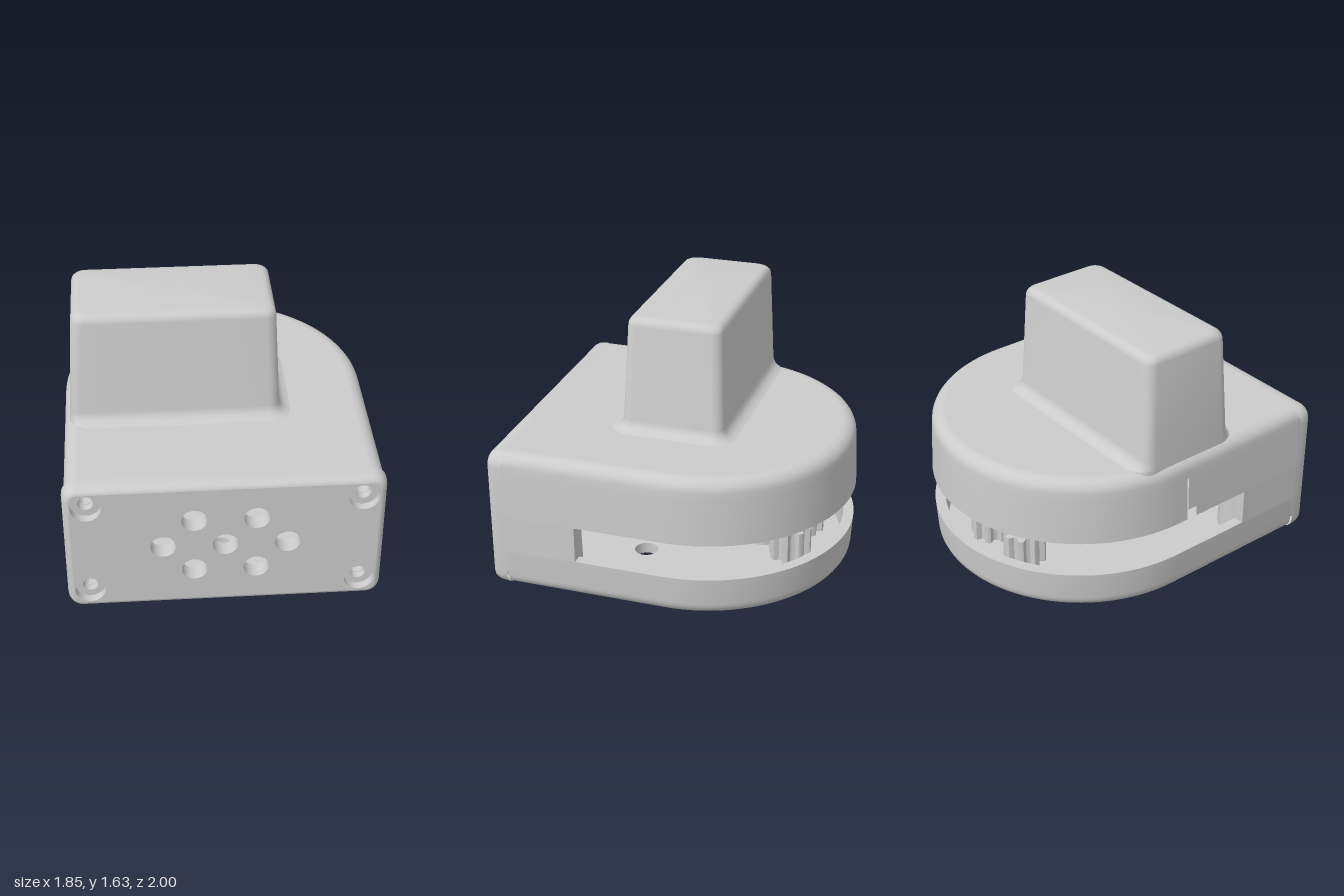
import * as THREE from 'three';
import { toCreasedNormals } from 'three/addons/utils/BufferGeometryUtils.js';

const R = 0.925, ZC = -0.075, ZF = 0.9, WALL = 0.07;
const grey = new THREE.MeshStandardMaterial({ color: 0xcccccc, side: THREE.DoubleSide });

// Skin between rings of points; skip(a, c) leaves out a quad by its corners
function loft(rings, closed, skip = () => false) {
  const n = rings[0].length, idx = [];
  for (let i = 0; i < rings.length - 1; i++)
    for (let j = 0; j < (closed ? n : n - 1); j++) {
      const k = (j + 1) % n;
      if (skip(rings[i][j], rings[i + 1][k])) continue;
      const a = i * n + j, b = i * n + k, c = b + n, d = a + n;
      idx.push(a, b, c, a, c, d);
    }
  const g = new THREE.BufferGeometry().setFromPoints(rings.flat());
  g.setIndex(idx);
  return toCreasedNormals(g, 0.6);
}

// D-shaped plan outline (x, z), open at the front
function outline(inset) {
  const r = R - inset, pts = [];
  for (const z of [ZF, 0.46, 0.07, 0]) pts.push([r, z]);
  for (let i = 0; i <= 48; i++) {
    const t = Math.PI * i / 48;
    pts.push([r * Math.cos(t), ZC - r * Math.sin(t)]);
  }
  for (const z of [0, 0.07, 0.46, ZF]) pts.push([-r, z]);
  return pts;
}
const dRing = ([inset, y]) => outline(inset).map(([x, z]) => new THREE.Vector3(x, y, z));

// Rounded rectangle, counter-clockwise
function roundRect(x0, x1, y0, y1, r) {
  const pts = [];
  [[x1 - r, y0 + r], [x1 - r, y1 - r], [x0 + r, y1 - r], [x0 + r, y0 + r]].forEach(([cx, cy], q) => {
    for (let i = 0; i <= 6; i++) {
      const t = (q - 1 + i / 6) * Math.PI / 2;
      pts.push(new THREE.Vector2(cx + r * Math.cos(t), cy + r * Math.sin(t)));
    }
  });
  return pts;
}

const circle = (x, y, r) => new THREE.Path().absarc(x, y, r, 0, Math.PI * 2, true);

function plate(points, holes, depth) {
  const shape = new THREE.Shape(points);
  shape.holes.push(...holes);
  return new THREE.ExtrudeGeometry(shape, { depth, bevelEnabled: false, curveSegments: 24 });
}
const lathe = (pts) => toCreasedNormals(
  new THREE.LatheGeometry(pts.map(p => new THREE.Vector2(...p)), 32), 0.6);

export function createModel() {
  const model = new THREE.Group();
  const add = (name, geo, x = 0, y = 0, z = 0) => {
    const m = new THREE.Mesh(geo, grey);
    m.name = name;
    m.position.set(x, y, z);
    model.add(m);
    return m;
  };
  const slab = (inset, holes, y) => {
    const pts = outline(inset).map(([x, z]) => new THREE.Vector2(x, -z));
    return plate(pts, holes, WALL).rotateX(-Math.PI / 2).translate(0, y, 0);
  };
  const posts = [[0, -0.44], [0.7, 0.62], [-0.7, 0.62]];

  // Upper shell wall with a narrow slit on one side
  const slit = (a, c) => a.x < 0 && c.x < 0 && Math.min(a.z, c.z) > -0.01 &&
    Math.max(a.z, c.z) < 0.08 && Math.max(a.y, c.y) < 0.81;
  const upper = [[0.1, 0.855], [0.085, 0.855], [0.08, 0.8], [WALL, 0.52], [0, 0.52], [0.012, 0.8]];
  const lower = [];
  for (let i = 0; i <= 6; i++) {
    const t = i / 6 * Math.PI / 2, c = 0.08 * (1 - Math.cos(t)), s = 0.08 * Math.sin(t);
    upper.push([0.015 + c, 0.845 + s]);
    lower.unshift([0.015 + c, 0.12 - s]);
  }
  lower.push([0.005, 0.29], [WALL, 0.29], [0.08, 0.11], [0.1, 0.11]);
  add('upperShellWall', loft(upper.map(dRing), false, slit));
  add('lowerShellWall', loft(lower.map(dRing), false));

  // Roof opens into the tower
  add('roof', slab(0.095, [new THREE.Path(roundRect(-0.8, 0.3, -0.29, 0.2, 0.05).reverse())], 0.855));

  // Floor with a diagonal grid of vents and the post holes
  const vents = posts.map(([x, z]) => circle(x, -z, 0.075));
  for (let i = -1; i <= 1; i++)
    for (let j = -1; j <= 1; j++)
      vents.push(circle((i + j) * 0.185, -(0.21 + (i - j) * 0.185), 0.072));
  add('floor', slab(0.095, vents, 0.04));

  // Side walls in front of the slot
  for (const s of [1, -1])
    add('slotFrontWall', new THREE.BoxGeometry(WALL, 0.23, 0.44), s * (R - 0.0025 - WALL / 2), 0.405, 0.68);

  // Tapered tower with a flared foot and rounded top
  const towerRing = (y, e, flare = 0) => {
    const t = (y - 0.925) / 0.705;
    return roundRect(-0.875 + 0.04 * t - e, 0.375 - 0.035 * t + e + flare,
      -0.36 + 0.035 * t - e - flare, 0.275 - 0.025 * t + e + flare, 0.065 + Math.max(flare, e * 0.5))
      .map(p => new THREE.Vector3(p.x, y, -p.y));
  };
  const centre = y => roundRect(-0.25, -0.25, -0.04, -0.04, 0).map(p => new THREE.Vector3(p.x, y, -p.y));
  add('tower', loft([
    towerRing(0.9, 0, 0.065), towerRing(0.925, 0, 0.065), towerRing(0.932, 0, 0.04),
    towerRing(0.947, 0, 0.018), towerRing(0.968, 0, 0.005), towerRing(0.99, 0),
    towerRing(1.58, 0), towerRing(1.6, -0.004), towerRing(1.617, -0.015),
    towerRing(1.627, -0.031), towerRing(1.63, -0.05), centre(1.63)], true));
  add('towerLining', loft([centre(1.56), towerRing(1.56, -0.07), towerRing(0.86, -0.07)], true));

  // Front plate: rounded rim, vents and counterbored screw holes
  const screws = [[0.79, 0.79], [-0.79, 0.79], [0.79, 0.18], [-0.79, 0.18]];
  const frontVents = [[0, 0.485], [0.36, 0.485], [-0.36, 0.485],
    [0.18, 0.67], [-0.18, 0.67], [0.18, 0.305], [-0.18, 0.305]];
  const face = e => roundRect(-R + e, R - e, 0.04 + e, 0.925 - e, 0.09 - e);
  const rim = [face(0).map(p => new THREE.Vector3(p.x, p.y, ZF))];
  for (let i = 0; i <= 6; i++) {
    const t = i / 6 * Math.PI / 2;
    rim.push(face(0.04 * (1 - Math.cos(t))).map(p => new THREE.Vector3(p.x, p.y, 0.92 + 0.08 * Math.sin(t))));
  }
  add('frontPlateRim', loft(rim, true));
  [[0.9, 0.045], [0.95, 0.088]].forEach(([z, r]) => add('frontPlate', plate(face(0.04), [
    ...frontVents.map(([x, y]) => circle(x, y, 0.074)),
    ...screws.map(([x, y]) => circle(x, y, r))], 0.05), 0, 0, z));

  // Screw bosses behind the plate
  const boss = lathe([[0, 0], [0.075, 0], [0.075, 0.35], [0.042, 0.35], [0.042, 0.05], [0, 0.05]])
    .rotateX(Math.PI / 2);
  for (const [x, y] of screws) add('screwBoss', boss, x, y, 0.555);

  // Hollow posts joining floor and roof
  const post = lathe([[0, 0.45], [0.073, 0.45], [0.075, 0.045], [0.113, 0.045], [0.1, 0.6], [0.1, 0.87]]);
  for (const [x, z] of posts) add('post', post, x, 0, z);

  // Lobed plugs with rounded feet under the floor
  const lobes = [];
  for (let i = 0; i < 96; i++) {
    const t = i / 96 * Math.PI * 2, r = 0.113 + 0.017 * Math.tanh(3 * Math.cos(8 * t));
    lobes.push(new THREE.Vector2(r * Math.cos(t), r * Math.sin(t)));
  }
  const plug = toCreasedNormals(plate(lobes, [circle(0, 0, 0.04)], 0.22).rotateX(-Math.PI / 2), 0.6);
  const foot = lathe([[0.04, 0.05], [0.04, 0.012], [0.052, 0], [0.108, 0], [0.122, 0.005], [0.13, 0.018], [0.13, 0.05]]);
  for (const x of [-0.19, 0.16]) {
    add('plug', plug, x, 0.1, -0.655);
    add('foot', foot, x, 0, -0.655);
  }
  return model;
}
